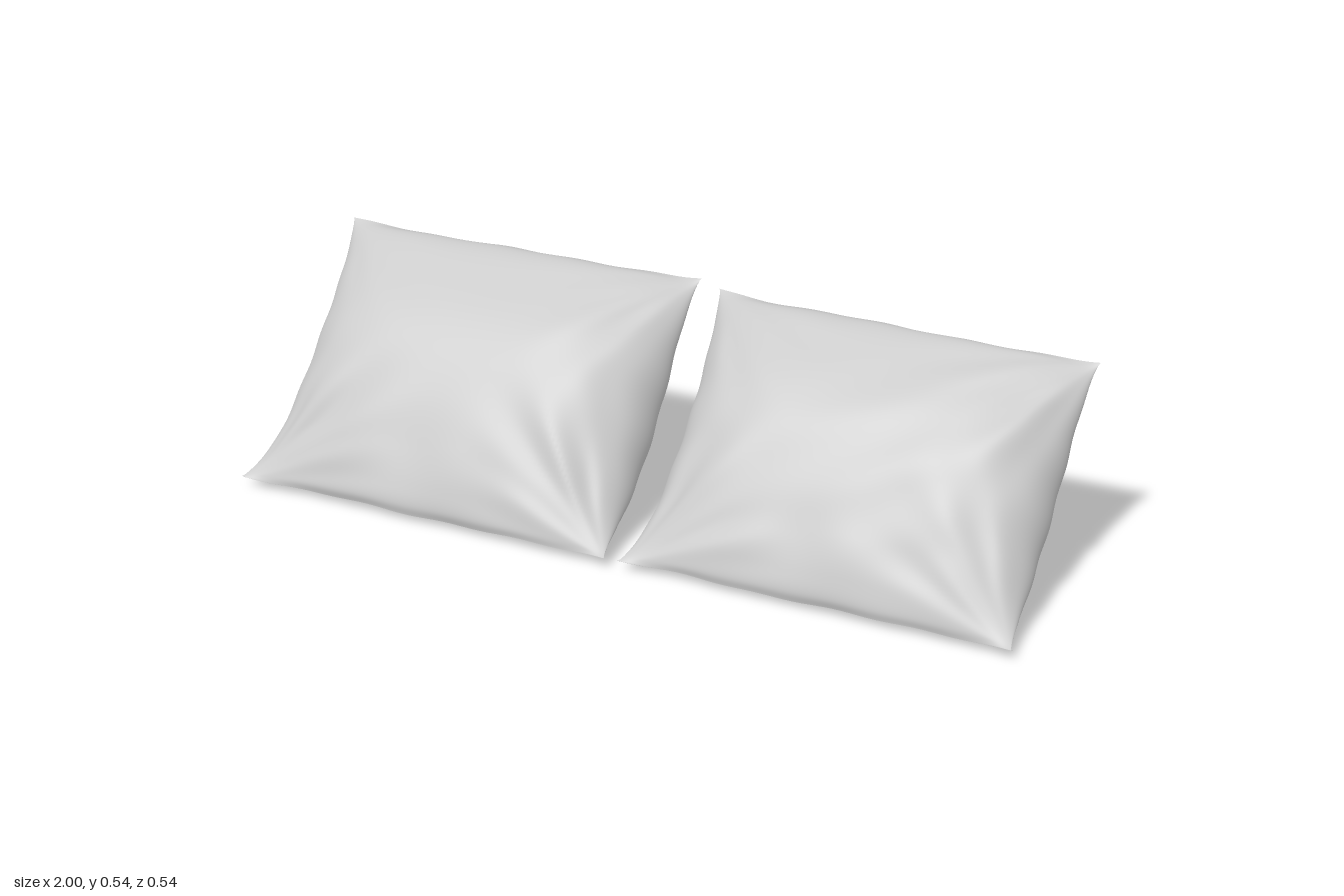
import * as THREE from 'three';

const curve = (pts) => new THREE.CatmullRomCurve3(pts.map(([z, y]) => new THREE.Vector3(0, y, z)));

// Side profiles (z, y), each running from the bottom seam to the top seam
const FRONT = curve([[0.258, 0.02], [0.262, 0.045], [0.246, 0.1], [0.2, 0.195], [0.14, 0.295], [0.07, 0.385],
  [0, 0.447], [-0.1, 0.503], [-0.18, 0.537], [-0.225, 0.541], [-0.262, 0.528]]);
const BACK = curve([[0.258, 0.02], [0.2, 0.007], [0.1, 0.002], [0, 0.015], [-0.055, 0.038], [-0.1, 0.08],
  [-0.15, 0.16], [-0.2, 0.25], [-0.245, 0.38], [-0.268, 0.48], [-0.262, 0.528]]);
const SEAM = curve([[0.262, 0.03], [0.12, 0.083], [0.005, 0.17], [-0.085, 0.265], [-0.17, 0.395], [-0.258, 0.532]]);

const NU = 120, NV = 90;
const lerp = THREE.MathUtils.lerp;
const bell = (x, centre, width) => Math.exp(-(((x - centre) / width) ** 2));

// Creases fanning out of the four corners, a soft fold at the bottom, and hanging sweeps
function wrinkle(p, s, v, side) {
  let d = 0;
  p.creases.forEach((amp, i) => {
    const dx = Math.abs(s - (i % 2)), dy = Math.abs(v - (i < 2 ? 0 : 1)) * 0.75;
    const r = Math.hypot(dx, dy), a = Math.atan2(dy, dx);
    const fan = Math.sin(a * 11 + p.phase + i * 1.7 + side + Math.sin(r * 7 + i) * 0.9)
      + 0.5 * Math.sin(a * 19 + i + r * 5);
    d += amp * fan * bell(r, 0.26, 0.17);
  });
  const fold = Math.sin((s - 0.5) * 20 + v * p.phase) * bell(s, 0.55, 0.2) * bell(v, 0.15, 0.17);
  const sweep = Math.sin(26 * (v - 0.55 * s * s) + p.phase) * bell(s, 0.6, 0.25) * bell(v, 0.5, 0.3);
  return d + 0.006 * fold + p.sweep * sweep;
}

// Point on a cushion panel: s runs left to right, v bottom to top
function panelPoint(p, profile, s, v, side) {
  const u = Math.abs(2 * s - 1);
  const full = Math.pow(Math.max(0, 1 - Math.pow(u, 4.2)), 0.56);
  const mid = Math.max(0, Math.sin(Math.PI * v));
  const pos = SEAM.getPointAt(v).lerp(profile.getPointAt(v), full);
  const pinch = p.pinch * Math.pow(mid, 0.45) + 0.002 * Math.sin(v * 31 + s * 3) * mid;
  pos.x = lerp(lerp(p.bottom[0], p.top[0], v) + pinch, lerp(p.bottom[1], p.top[1], v) - pinch, s);
  // Corners stick out a little beyond the middle of the hems, and the top hem is skewed
  const hem = Math.pow(Math.abs(2 * v - 1), 10) * Math.sign(v - 0.5);
  pos.z -= hem * (0.01 * u ** 8 - 0.002 + 0.002 * Math.sin(s * 17 + p.phase));
  pos.z += p.skew * (s - 0.5) * v ** 6;
  pos.y += hem * 0.0015 * (Math.sin(s * 13 + p.phase) + Math.sin(s * 31));
  const w = wrinkle(p, s, v, side) * Math.min(1, full * 1.4) * Math.min(1, mid * 1.6) * side;
  pos.y += w * 0.7;
  pos.z += w * 0.7;
  pos.y = Math.max(0, pos.y * p.scale);
  pos.z *= p.scale;
  return pos;
}

function panel(p, profile, side, material) {
  const verts = [], index = [];
  for (let j = 0; j <= NV; j++) {
    const v = 0.5 - 0.5 * Math.cos(Math.PI * j / NV);
    for (let i = 0; i <= NU; i++) {
      const s = 0.5 - 0.5 * Math.cos(Math.PI * i / NU);
      verts.push(...panelPoint(p, profile, s, v, side).toArray());
      if (i < NU && j < NV) {
        const a = j * (NU + 1) + i, b = a + 1, c = a + NU + 1, d = c + 1;
        if (side > 0) index.push(a, b, d, a, d, c);
        else index.push(a, d, b, a, c, d);
      }
    }
  }
  const geo = new THREE.BufferGeometry();
  geo.setAttribute('position', new THREE.Float32BufferAttribute(verts, 3));
  geo.setIndex(index);
  geo.computeVertexNormals();
  const mesh = new THREE.Mesh(geo, material);
  mesh.name = side > 0 ? 'frontPanel' : 'backPanel';
  return mesh;
}

export function createModel() {
  const model = new THREE.Group();
  model.name = 'cushionPair';
  const material = new THREE.MeshStandardMaterial({ color: 0xcccccc });
  // Outline x limits; crease strength at bottom-left, bottom-right, top-left, top-right
  const cushions = [
    { name: 'rightCushion', bottom: [-1, 0.002], top: [-0.98, -0.004], pinch: 0.026, skew: -0.014,
      scale: 1, phase: 0.6, creases: [0.006, 0.007, 0.001, 0.003], sweep: 0 },
    { name: 'leftCushion', bottom: [0.032, 0.992], top: [0.04, 1], pinch: 0.028, skew: 0.025,
      scale: 0.965, phase: 2.3, creases: [0.005, 0.004, 0.002, 0.005], sweep: 0.003 },
  ];
  for (const p of cushions) {
    const cushion = new THREE.Group();
    cushion.name = p.name;
    cushion.add(panel(p, FRONT, 1, material), panel(p, BACK, -1, material));
    model.add(cushion);
  }
  return model;
}
